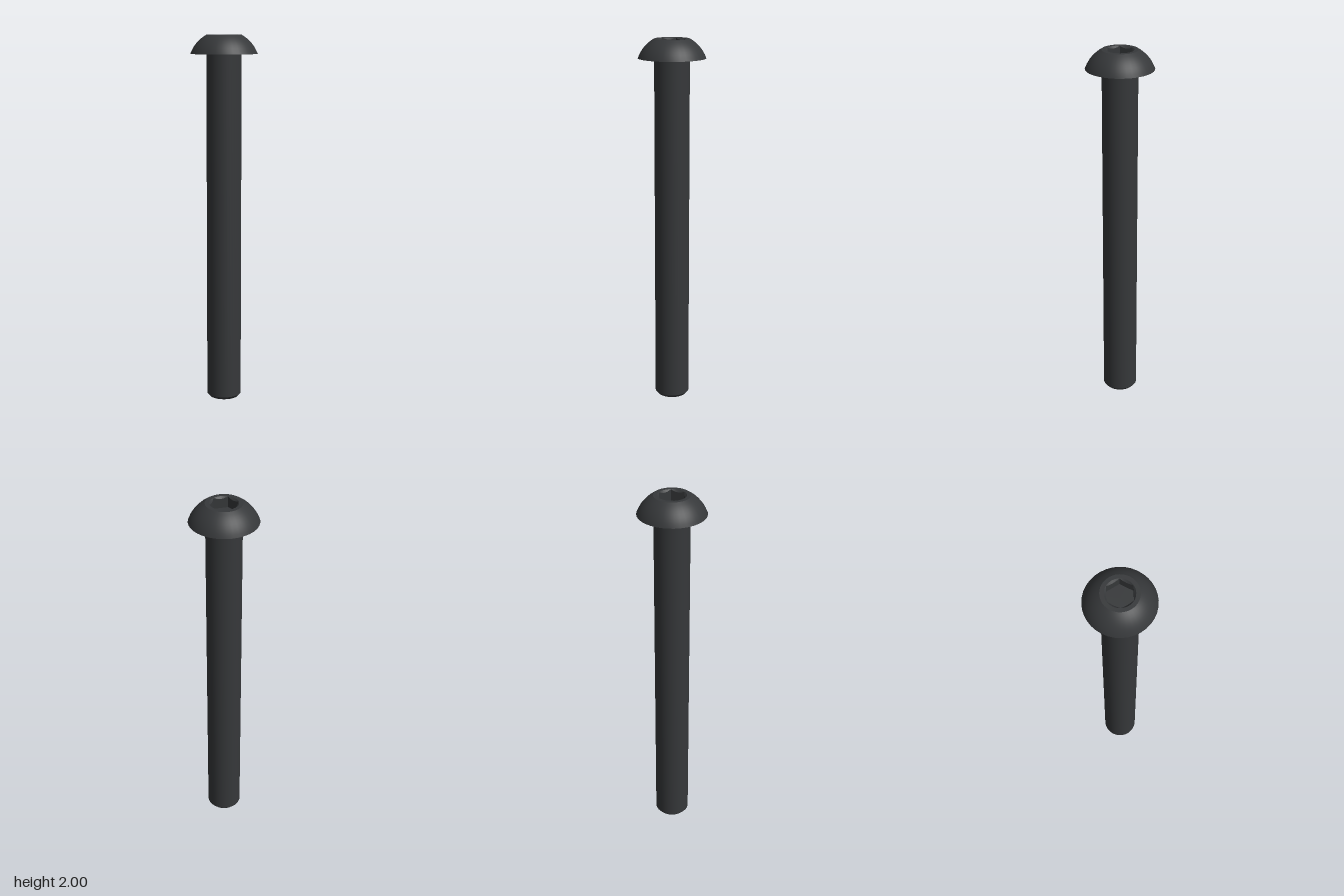
import * as THREE from 'three';
import { toCreasedNormals } from 'three/addons/utils/BufferGeometryUtils.js';

const SIDES = 36;
const SOCKET_RIM = 0.074;
const SOCKET_FLOOR = 1.94;

// Revolves [radius, y] pairs, listed so that the outside lies to the right
function revolve(points) {
  return new THREE.LatheGeometry(points.map(([r, y]) => new THREE.Vector2(r, y)), SIDES);
}

// Radius of the hexagon at an angle, with corners on the x axis
function hexRadius(angle) {
  const apothem = 0.0635;
  const sector = Math.PI / 3;
  const a = ((angle % sector) + sector) % sector - sector / 2;
  return apothem / Math.cos(a);
}

export function createModel() {
  const group = new THREE.Group();
  const material = new THREE.MeshStandardMaterial({ color: 0x36383a });
  const add = (name, geometry) => {
    const mesh = new THREE.Mesh(toCreasedNormals(geometry, 0.4), material);
    mesh.name = name;
    group.add(mesh);
  };

  // Plain shank with a chamfered tip
  add('shank', revolve([[0, 0], [0.08, 0], [0.094, 0.016], [0.094, 1.9]]));

  // Domed head: flat underside, spherical arc, flat rim around the socket
  const centreY = 1.833, radius = 0.192;
  const head = [[0.094, 1.9]];
  const start = Math.atan2(1.9 - centreY, 0.18);
  const end = Math.atan2(2 - centreY, 0.095);
  for (let i = 0; i <= 8; i++) {
    const a = start + (end - start) * i / 8;
    head.push([radius * Math.cos(a), centreY + radius * Math.sin(a)]);
  }
  head[head.length - 1][1] = 2;
  head.push([SOCKET_RIM, 2]);
  add('head', revolve(head));

  // Hexagonal socket with a conical lead-in: the lower rings are drawn onto the hexagon
  const socket = revolve([[SOCKET_RIM, 2], [0.07, 1.99], [0.07, SOCKET_FLOOR], [0, SOCKET_FLOOR]]);
  const p = socket.attributes.position;
  for (let i = 0; i < p.count; i++) {
    const ring = i % 4;
    if (ring !== 1 && ring !== 2) continue;
    const angle = Math.atan2(p.getZ(i), p.getX(i));
    const r = hexRadius(angle);
    const y = ring === 1 ? 2 - (SOCKET_RIM - r) : SOCKET_FLOOR;
    p.setXYZ(i, r * Math.cos(angle), y, r * Math.sin(angle));
  }
  add('hexSocket', socket);

  return group;
}
